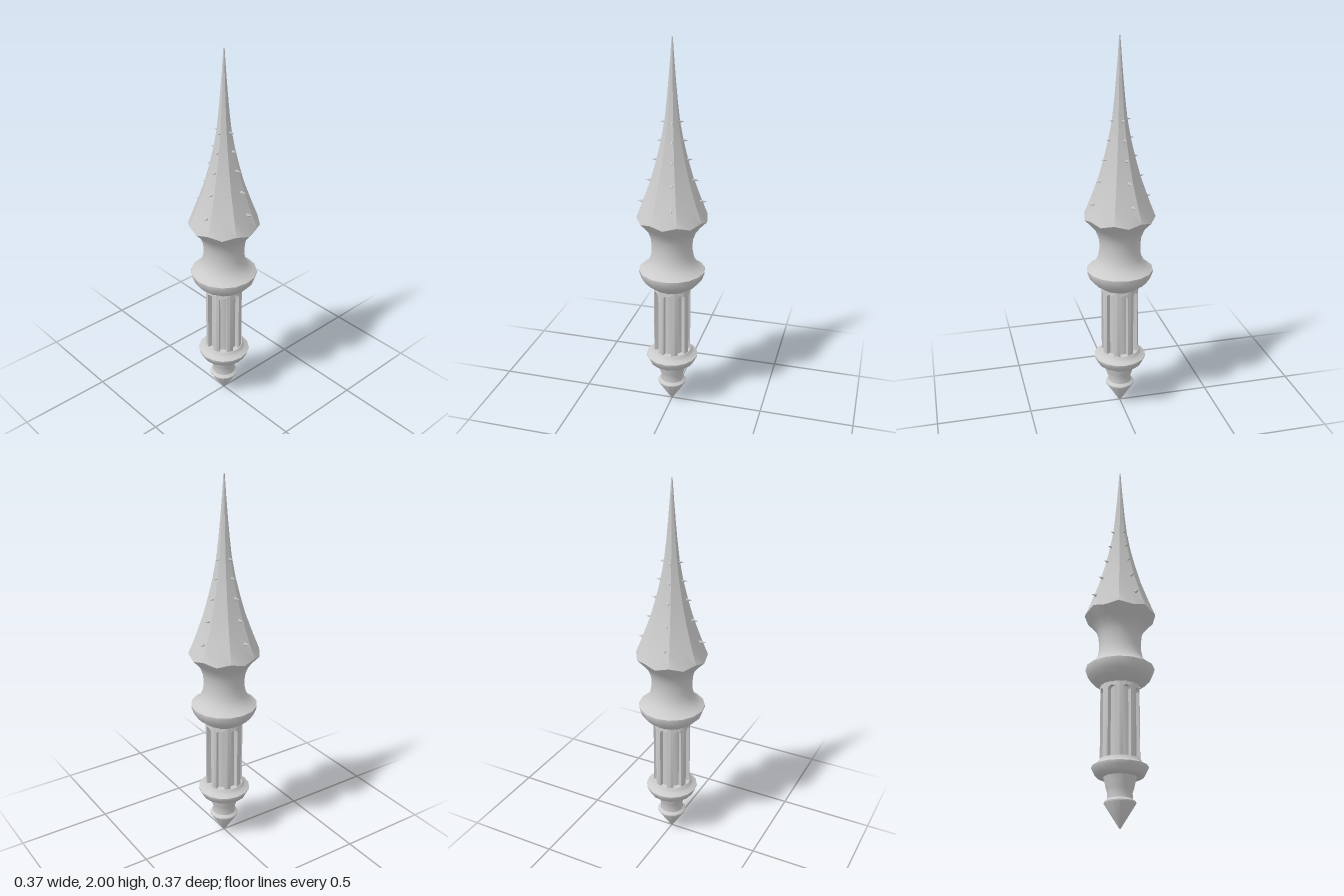
import * as THREE from 'three';
import { toCreasedNormals } from 'three/addons/utils/BufferGeometryUtils.js';

const material = new THREE.MeshStandardMaterial({ color: 0xcccccc });
const SIDES = 16;
const CREASE = 0.62;
const RIM_R = 0.184, RIM_CORNER_Y = 1.1, RIM_MID_Y = 1.083;

// Profile points are [radius, height], from bottom to top.
function lathe(profile) {
  return new THREE.LatheGeometry(profile.map(([r, y]) => new THREE.Vector2(r, y)), SIDES);
}

function addMesh(parent, name, geometry) {
  const mesh = new THREE.Mesh(geometry, material);
  mesh.name = name;
  parent.add(mesh);
  return mesh;
}

// Calls rule(vertex, isFaceMiddle): every other lathe column is the middle of a spire face.
function reshape(geometry, rule) {
  const pos = geometry.attributes.position;
  const v = new THREE.Vector3();
  for (let i = 0; i < pos.count; i++) {
    v.fromBufferAttribute(pos, i);
    const column = Math.round(Math.atan2(v.x, v.z) / (Math.PI / 8));
    rule(v, column % 2 === 0);
    pos.setXYZ(i, v.x, v.y, v.z);
  }
  return geometry;
}

const spireProfile = [
  [RIM_R, RIM_CORNER_Y], [0.152, 1.18], [0.108, 1.3], [0.08, 1.4], [0.056, 1.5],
  [0.038, 1.6], [0.027, 1.7], [0.018, 1.8], [0.01, 1.9], [0.003, 2], [0, 2],
];

// Radius of the spire's corners at a height
function spireRadius(y) {
  const i = spireProfile.findIndex((p) => p[1] >= y);
  const [r0, y0] = spireProfile[i - 1], [r1, y1] = spireProfile[i];
  return THREE.MathUtils.mapLinear(y, y0, y1, r0, r1);
}

// Eight-sided spire whose flat faces dip into a scalloped round rim
function spireGeometry() {
  return toCreasedNormals(reshape(lathe(spireProfile), (v, middle) => {
    if (!middle) return;
    if (v.y < RIM_CORNER_Y + 0.001) {
      v.y = RIM_MID_Y;
    } else {
      const k = Math.cos(Math.PI / 8);
      v.x *= k;
      v.z *= k;
    }
  }), CREASE);
}

function collarGeometry() {
  const geometry = lathe([
    [0.1, 0.7], [0.135, 0.725], [0.16, 0.752], [0.174, 0.79], [0.174, 0.8],
    [0.153, 0.813], [0.13, 0.835], [0.115, 0.865], [0.108, 0.9], [0.107, 0.94],
    [0.112, 0.98], [0.126, 1.018], [0.15, 1.048], [RIM_R, RIM_CORNER_Y],
  ]);
  reshape(geometry, (v, middle) => {
    if (middle && v.y > RIM_CORNER_Y - 0.001) v.y = RIM_MID_Y;
  });
  return toCreasedNormals(geometry, CREASE);
}

// One eighth of the fluted shell: a slotted panel bent around the axis
function flutePanelGeometry() {
  const R = 0.098, depth = 0.024;
  const half = R * Math.PI / 8, slot = 0.021;
  const bottom = 0.31, top = 0.71, slotBottom = 0.325, archY = 0.662;
  const xs = [-half, -slot, 0, slot, half];
  const shape = new THREE.Shape([
    ...xs.map((x) => new THREE.Vector2(x, bottom)),
    ...xs.slice().reverse().map((x) => new THREE.Vector2(x, top)),
  ]);
  const hole = new THREE.Path();
  hole.moveTo(-slot, slotBottom);
  hole.lineTo(-slot, archY);
  hole.absarc(0, archY, slot, Math.PI, 0, true);
  hole.lineTo(slot, slotBottom);
  hole.closePath();
  shape.holes.push(hole);

  const geometry = new THREE.ExtrudeGeometry(shape, { depth, bevelEnabled: false, curveSegments: 4 });
  const pos = geometry.attributes.position;
  for (let i = 0; i < pos.count; i++) {
    const angle = pos.getX(i) / R;
    const r = R - depth + pos.getZ(i);
    pos.setXYZ(i, r * Math.sin(angle), pos.getY(i), r * Math.cos(angle));
  }
  return toCreasedNormals(geometry, CREASE);
}

export function createModel() {
  const model = new THREE.Group();
  model.name = 'spire';

  // Pointed foot, stem and lower ring
  addMesh(model, 'footPoint', toCreasedNormals(lathe([
    [0, 0], [0.004, 0], [0.077, 0.115], [0.077, 0.122], [0.063, 0.135],
  ]), CREASE));
  addMesh(model, 'stem', toCreasedNormals(lathe([
    [0.063, 0.13], [0.06, 0.165], [0.067, 0.185], [0.073, 0.215], [0.081, 0.242],
  ]), CREASE));
  addMesh(model, 'lowerRing', toCreasedNormals(lathe([
    [0.07, 0.241], [0.108, 0.241], [0.121, 0.25], [0.133, 0.275], [0.139, 0.287],
    [0.139, 0.292], [0.113, 0.306], [0.103, 0.325], [0.07, 0.326],
  ]), CREASE));

  // Fluted column around a plain core
  const column = new THREE.Group();
  column.name = 'flutedColumn';
  model.add(column);
  addMesh(column, 'columnCore', toCreasedNormals(lathe([[0.076, 0.31], [0.076, 0.71]]), CREASE));
  const panel = flutePanelGeometry();
  for (let i = 0; i < 8; i++) {
    addMesh(column, 'flutePanel', panel).rotation.y = i * Math.PI / 4;
  }

  // Waisted collar and spire
  addMesh(model, 'collar', collarGeometry());
  addMesh(model, 'spireTop', spireGeometry());

  // Four rows of thorns, each cone pointing outwards
  const length = 0.035;
  const thorn = new THREE.ConeGeometry(0.01, length, 6);
  thorn.rotateZ(-Math.PI / 2);
  for (let row = 0; row < 4; row++) {
    const thorns = new THREE.Group();
    thorns.name = 'thornRow';
    thorns.rotation.y = THREE.MathUtils.degToRad(13) + row * Math.PI / 2;
    for (const y of [1.178, 1.292, 1.4, 1.498, 1.593]) {
      const size = THREE.MathUtils.mapLinear(y, 1.178, 1.593, 1, 0.75);
      const mesh = addMesh(thorns, 'thorn', thorn);
      mesh.scale.setScalar(size);
      mesh.position.set(spireRadius(y) * 0.95 + length * size * 0.4, y, 0);
    }
    model.add(thorns);
  }
  return model;
}
